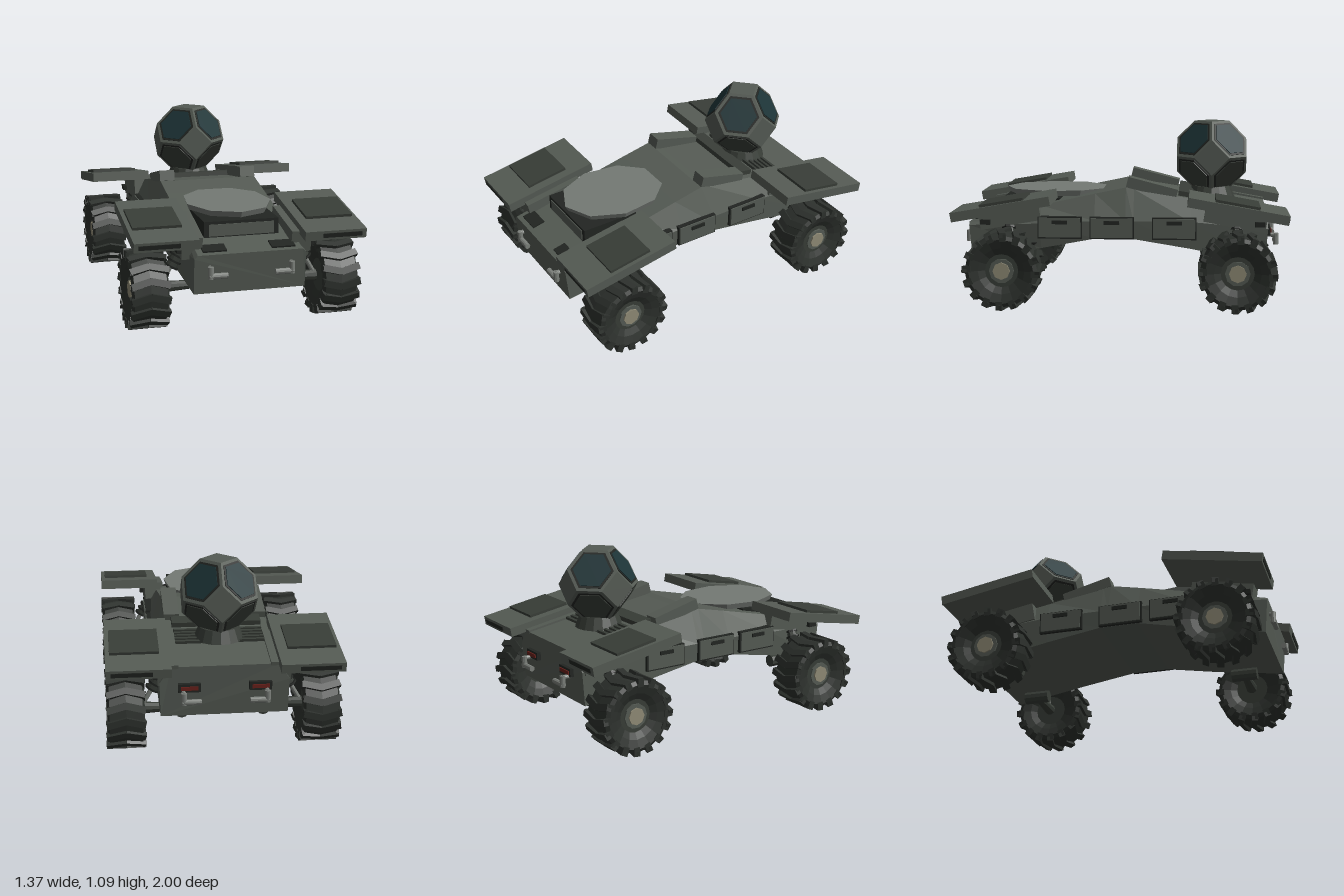
import * as THREE from 'three';
import { ConvexGeometry } from 'three/addons/geometries/ConvexGeometry.js';

const V = (x, y, z) => new THREE.Vector3(x, y, z);
const mat = (color) => new THREE.MeshStandardMaterial({ color, flatShading: true });
const hullMat = mat(0x555b54), panelMat = mat(0x383d37), darkMat = mat(0x222522), tireMat = mat(0x2d312d);
const metalMat = mat(0x7b7f7a), dishMat = mat(0x747974), glassMat = mat(0x1d3437), tanMat = mat(0x908b76), redMat = mat(0x6a211b);

function add(parent, name, geo, material, x = 0, y = 0, z = 0, rx = 0, ry = 0, rz = 0) {
  const m = new THREE.Mesh(geo, material);
  m.name = name;
  m.position.set(x, y, z);
  m.rotation.set(rx, ry, rz);
  parent.add(m);
  return m;
}
const box = (p, name, material, size, ...place) => add(p, name, new THREE.BoxGeometry(...size), material, ...place);

// Cylinder running from a to b
function rod(p, name, material, a, b, r0, r1 = r0, sides = 10) {
  const d = b.clone().sub(a);
  const m = add(p, name, new THREE.CylinderGeometry(r1, r0, d.length(), sides), material);
  m.position.copy(a).add(b).multiplyScalar(0.5);
  m.quaternion.setFromUnitVectors(V(0, 1, 0), d.normalize());
  return m;
}

// Hull lofted through six-sided cross-sections from back to front
function hullGeometry() {
  // z, bottom y, shoulder y, top y, bottom half-width, shoulder half-width, top half-width
  const sections = [
    [-0.89, 0.25, 0.46, 0.555, 0.37, 0.375, 0.31],
    [-0.42, 0.335, 0.5, 0.635, 0.375, 0.38, 0.31],
    [-0.07, 0.39, 0.5, 0.69, 0.375, 0.38, 0.31],
    [-0.02, 0.39, 0.5, 0.7, 0.375, 0.38, 0.31],
    [0.17, 0.39, 0.5, 0.66, 0.375, 0.38, 0.31],
    [0.51, 0.325, 0.48, 0.585, 0.36, 0.375, 0.31],
    [0.955, 0.25, 0.46, 0.48, 0.33, 0.33, 0.31],
  ];
  const rings = sections.map(([z, yb, ym, yt, wb, wm, wt]) => [
    [wb, yb, z * 0.98], [wm, ym, z], [wt, yt, z], [-wt, yt, z], [-wm, ym, z], [-wb, yb, z * 0.98],
  ]);
  const pos = [];
  const tri = (...c) => c.forEach((v) => pos.push(...v));
  for (let i = 0; i < rings.length - 1; i++) {
    for (let j = 0; j < 6; j++) {
      const k = (j + 1) % 6, a = rings[i], b = rings[i + 1];
      tri(a[j], a[k], b[k]);
      tri(a[j], b[k], b[j]);
    }
  }
  const back = rings[0], front = rings[rings.length - 1];
  for (let j = 1; j < 5; j++) {
    tri(front[0], front[j], front[j + 1]);
    tri(back[0], back[j + 1], back[j]);
  }
  const g = new THREE.BufferGeometry();
  g.setAttribute('position', new THREE.Float32BufferAttribute(pos, 3));
  g.computeVertexNormals();
  return g;
}

// Wheel with chevron lugs; its axle is local x and the outside is +x
function makeWheel() {
  const wheel = new THREE.Group();
  wheel.name = 'wheel';
  const profile = [[0.1, -0.07], [0.14, -0.09], [0.195, -0.108], [0.218, -0.095], [0.222, 0],
    [0.218, 0.095], [0.195, 0.108], [0.14, 0.09], [0.1, 0.07]].map(([r, a]) => new THREE.Vector2(r, a));
  add(wheel, 'tire', new THREE.LatheGeometry(profile, 16), tireMat, 0, 0, 0, 0, 0, -Math.PI / 2);
  const disc = (name, m, r, x, w, n) =>
    add(wheel, name, new THREE.CylinderGeometry(r, r, w, n), m, x, 0, 0, 0, 0, -Math.PI / 2);
  disc('rim', panelMat, 0.112, 0, 0.14, 10);
  disc('hubRing', hullMat, 0.075, 0.02, 0.12, 10);
  disc('hubCap', tanMat, 0.052, 0.035, 0.11, 8);
  const lugGeo = new THREE.BoxGeometry(0.118, 0.03, 0.04);
  const shoulderGeo = new THREE.BoxGeometry(0.018, 0.045, 0.04);
  for (let i = 0; i < 16; i++) {
    const lug = new THREE.Group();
    lug.name = 'treadLug';
    lug.rotation.x = (i / 16) * Math.PI * 2;
    for (const s of [-1, 1]) {
      add(lug, 'lugBar', lugGeo, tireMat, s * 0.054, 0.219, 0, 0, s * 0.25, 0);
      add(lug, 'lugShoulder', shoulderGeo, tireMat, s * 0.102, 0.203, -0.014);
    }
    wheel.add(lug);
  }
  return wheel;
}

// Fender, wheel and suspension of one corner
function makeCorner(sx, sz) {
  const g = new THREE.Group();
  g.name = 'corner';
  const fender = new THREE.Group();
  fender.name = 'fender';
  fender.position.set(sx * 0.495, 0.61, sz * 0.7);
  fender.rotation.x = sz * 0.175;
  box(fender, 'fenderSlab', hullMat, [0.37, 0.056, 0.598]);
  box(fender, 'fenderPanel', panelMat, [0.285, 0.02, 0.265], sx * 0.018, 0.034, sz * -0.01);
  box(fender, 'fenderEdgeStrip', darkMat, [0.235, 0.026, 0.008], sx * 0.04, 0, sz * 0.299);
  g.add(fender);
  box(g, 'fenderBracket', hullMat, [0.12, 0.13, 0.38], sx * 0.325, 0.535, sz * 0.695, sz * 0.175);
  box(g, 'bracketLatch', darkMat, [0.03, 0.03, 0.06], sx * 0.395, 0.49, sz * 0.84);

  const wheel = makeWheel();
  wheel.position.set(sx * 0.568, 0.236, sz * 0.7);
  wheel.rotation.y = sx < 0 ? Math.PI : 0;
  g.add(wheel);

  const at = (x, y, z = 0.7) => V(sx * x, y, sz * z);
  rod(g, 'suspensionArm', panelMat, at(0.25, 0.235), at(0.48, 0.235), 0.022, 0.036);
  rod(g, 'armPivot', panelMat, at(0.24, 0.235, 0.62), at(0.24, 0.235, 0.78), 0.04);
  rod(g, 'shockPiston', metalMat, at(0.39, 0.39), at(0.465, 0.26), 0.014);
  rod(g, 'shockBody', panelMat, at(0.335, 0.48), at(0.405, 0.36), 0.034);
  for (let i = 0; i < 4; i++) {
    const x = 0.35 + i * 0.018, y = 0.455 - i * 0.031;
    rod(g, 'shockCoil', darkMat, at(x, y), at(x + 0.006, y - 0.0105), 0.045);
  }
  return g;
}

// Truncated octahedron with a raised panel on each hexagonal face
function makeTurret() {
  const g = new THREE.Group();
  g.name = 'turret';
  const u = 0.109, signs = [-1, 1];
  const perms = [[0, 1, 2], [0, 2, 1], [1, 0, 2], [1, 2, 0], [2, 0, 1], [2, 1, 0]];
  const all = [];
  for (const x of signs) for (const y of signs) for (const z of signs) {
    const n = V(x, y, z);
    const corners = perms.map((p) => V(...p).multiply(n).multiplyScalar(u));
    all.push(...corners);
    const centre = n.clone().multiplyScalar(u);
    const plate = (name, m, scale, lift) => {
      const pts = [-0.005, lift].flatMap((h) => corners.map((c) => c.clone().sub(centre)
        .multiplyScalar(scale).add(centre).addScaledVector(n, h / Math.sqrt(3))));
      add(g, name, new ConvexGeometry(pts), m);
    };
    plate('turretPanelFrame', darkMat, 0.86, 0.003);
    plate(y > 0 ? 'turretWindow' : 'turretPanel', y > 0 ? glassMat : panelMat, 0.76, 0.007);
  }
  const seen = new Map(all.map((p) => [p.toArray().map((c) => Math.round(c * 1000)).join(), p]));
  add(g, 'turretShell', new ConvexGeometry([...seen.values()]), hullMat);
  g.position.set(0, 0.875, -0.546);
  return g;
}

export function createModel() {
  const model = new THREE.Group();
  model.name = 'rover';
  add(model, 'hull', hullGeometry(), hullMat);

  // Turret, its collar and the rear deck
  model.add(makeTurret());
  add(model, 'turretCollar', new THREE.CylinderGeometry(0.12, 0.15, 0.075, 16), panelMat, 0, 0.645, -0.546);
  box(model, 'turretStep', panelMat, [0.54, 0.05, 0.09], 0, 0.645, -0.385, -0.16);
  for (let i = 0; i < 5; i++) {
    box(model, 'ventBar', panelMat, [0.53, 0.03, 0.018], 0, 0.627 - i * 0.006, -0.485 - i * 0.034, -0.16);
  }

  // Front hatch and the dish above it
  box(model, 'hatchBase', darkMat, [0.45, 0.11, 0.36], 0, 0.565, 0.58);
  box(model, 'hatchFace', hullMat, [0.39, 0.07, 0.012], 0, 0.568, 0.759);
  const dish = add(model, 'dish', new THREE.CylinderGeometry(1, 0.95, 0.035, 9), dishMat, 0, 0.65, 0.433);
  dish.scale.set(0.264, 1, 0.332);

  for (const s of [-1, 1]) {
    for (const f of [-1, 1]) {
      model.add(makeCorner(s, f));
      // Tow hooks at both ends
      const z = f > 0 ? 0.972 : -0.945, wall = f > 0 ? 0.93 : -0.87;
      rod(model, 'hookUpright', metalMat, V(s * 0.24, 0.345, z), V(s * 0.24, 0.415, z), 0.017);
      rod(model, 'hookBar', metalMat, V(s * 0.25, 0.36, z), V(s * 0.14, 0.36, z), 0.017);
      rod(model, 'hookMount', metalMat, V(s * 0.24, 0.405, z), V(s * 0.24, 0.405, wall), 0.014);
    }
    box(model, 'shoulderBlock', hullMat, [0.095, 0.066, 0.315], s * 0.265, 0.695, -0.18, -0.25);
    box(model, 'headlight', darkMat, [0.14, 0.025, 0.08], s * 0.203, 0.492, 0.887, 0.22);
    box(model, 'tailLightHousing', darkMat, [0.13, 0.05, 0.03], s * 0.205, 0.43, -0.895);
    box(model, 'tailLight', redMat, [0.1, 0.022, 0.01], s * 0.205, 0.43, -0.912);

    // Storage boxes along the flank
    for (const z of [0.382, 0.062, -0.32]) {
      box(model, 'storageFrame', darkMat, [0.1, 0.135, 0.272], s * 0.345, 0.458, z);
      box(model, 'storageBox', hullMat, [0.1, 0.12, 0.256], s * 0.352, 0.46, z);
      box(model, 'storageHandle', darkMat, [0.02, 0.022, 0.095], s * 0.402, 0.494, z);
    }
  }
  return model;
}
